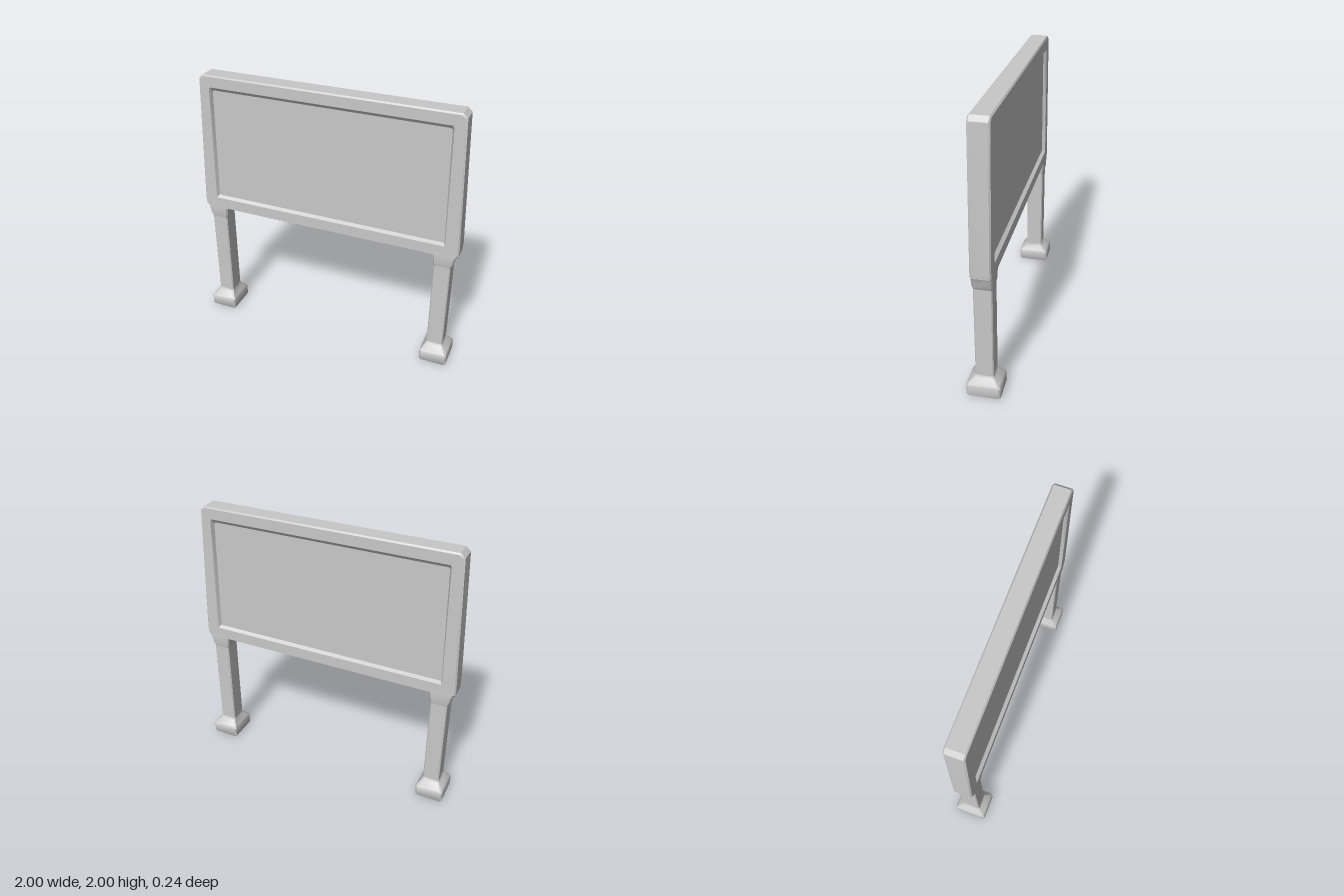
import * as THREE from 'three';
import { toCreasedNormals } from 'three/addons/utils/BufferGeometryUtils.js';

// Skin a stack of convex outlines (counter-clockwise in xy) along z, capped at both ends.
function loft(rings) {
  const pos = [];
  const tri = (a, b, c) => pos.push(...a, ...b, ...c);
  const n = rings[0].length;
  for (let i = 0; i < rings.length - 1; i++) {
    for (let j = 0; j < n; j++) {
      const k = (j + 1) % n;
      const a = rings[i][j], b = rings[i][k], c = rings[i + 1][k], d = rings[i + 1][j];
      tri(a, b, c);
      tri(a, c, d);
    }
  }
  const first = rings[0], last = rings[rings.length - 1];
  for (let j = 1; j < n - 1; j++) {
    tri(first[0], first[j + 1], first[j]);
    tri(last[0], last[j], last[j + 1]);
  }
  const geo = new THREE.BufferGeometry();
  geo.setAttribute('position', new THREE.Float32BufferAttribute(pos, 3));
  return toCreasedNormals(geo, 0.6);
}

// Symmetric outline from its right half, listed bottom to top.
const mirrored = (half, z) => [
  ...half.map(([x, y]) => [x, y, z]),
  ...half.slice().reverse().map(([x, y]) => [-x, y, z]),
];

// Rectangle with cut corners.
function cutRect(x0, x1, hz, c, z) {
  return [
    [x0 + c, -hz, z], [x1 - c, -hz, z], [x1, -hz + c, z], [x1, hz - c, z],
    [x1 - c, hz, z], [x0 + c, hz, z], [x0, hz - c, z], [x0, -hz + c, z],
  ];
}

// Tapered board: recessed panel, raised rim and softened outer edge on both faces.
function boardGeometry() {
  const panel = [[0.872, 1.035], [0.883, 1.038], [0.885, 1.05], [0.865, 1.875], [0.855, 1.885]];
  const rimIn = [[0.885, 1.02], [0.895, 1.023], [0.898, 1.035], [0.88, 1.9], [0.87, 1.913]];
  const rimOut = [[0.965, 0.937], [0.988, 0.955], [0.99, 1.0], [0.948, 1.965], [0.92, 1.99]];
  const edge = [[0.97, 0.93], [0.997, 0.95], [1.0, 1.0], [0.957, 1.97], [0.925, 2.0]];
  const layers = [[panel, 0.045], [rimIn, 0.07], [rimOut, 0.07], [edge, 0.06]];
  const back = layers.map(([o, z]) => mirrored(o, -z));
  const front = layers.map(([o, z]) => mirrored(o, z)).reverse();
  return loft([...back, ...front]);
}

// Leg sections: height, inner x, outer x, half depth, corner cut.
const footSections = [
  [0, 0.797, 0.997, 0.115, 0.012], [0.008, 0.793, 1.0, 0.12, 0.012],
  [0.08, 0.793, 1.0, 0.12, 0.012], [0.095, 0.8, 0.993, 0.11, 0.012],
  [0.135, 0.826, 0.958, 0.072, 0.01], [0.15, 0.828, 0.952, 0.065, 0.008],
];
const postSections = [[0.15, 0.829, 0.951, 0.064, 0.008], [0.85, 0.829, 0.951, 0.064, 0.008]];
const collarSections = [
  [0.845, 0.829, 0.951, 0.064, 0.008], [0.87, 0.822, 0.965, 0.069, 0.01],
  [0.92, 0.818, 0.973, 0.071, 0.01], [0.945, 0.81, 0.985, 0.071, 0.01],
  [0.99, 0.82, 0.975, 0.068, 0.01],
];

function legGeometry(sections, side) {
  const rings = sections.map(([y, a, b, hz, c]) =>
    side > 0 ? cutRect(a, b, hz, c, y) : cutRect(-b, -a, hz, c, y));
  return loft(rings).rotateX(-Math.PI / 2);
}

export function createModel() {
  const model = new THREE.Group();
  model.name = 'signboard';
  const grey = new THREE.MeshStandardMaterial({ color: 0xc8c8c8 });
  grey.name = 'light grey';

  const add = (name, geo, parent) => {
    const mesh = new THREE.Mesh(geo, grey);
    mesh.name = name;
    parent.add(mesh);
  };

  add('board', boardGeometry(), model);

  // One leg under each end of the board
  for (const [label, side] of [['left', 1], ['right', -1]]) {
    const leg = new THREE.Group();
    leg.name = label + 'Leg';
    add('foot', legGeometry(footSections, side), leg);
    add('post', legGeometry(postSections, side), leg);
    add('collar', legGeometry(collarSections, side), leg);
    model.add(leg);
  }
  return model;
}
